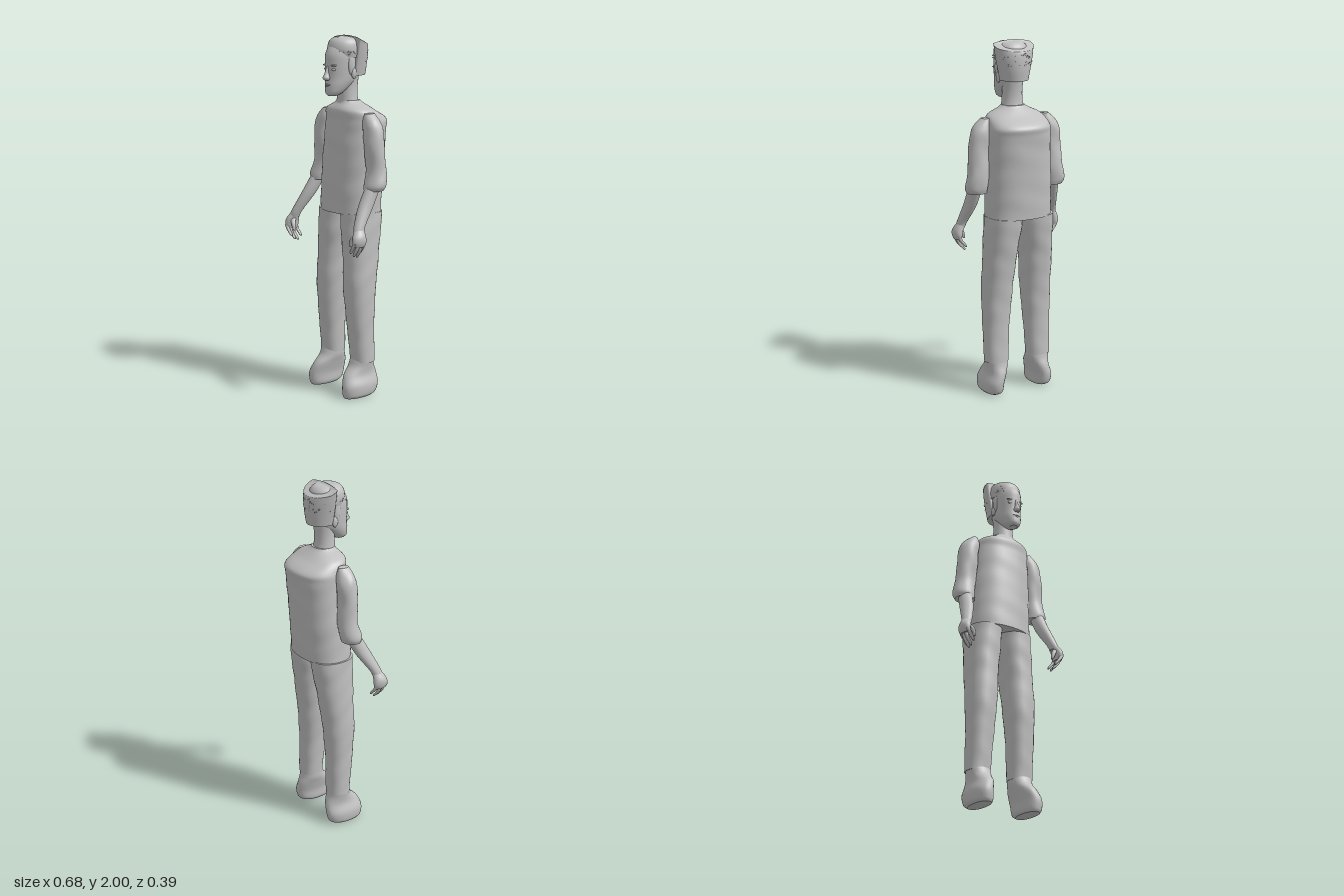
import * as THREE from 'three';

const grey = new THREE.MeshStandardMaterial({ color: 0xc0c0c0 });
grey.name = 'plain grey';

// Smooth body through elliptical rings [y, x, z, rx, rz], listed bottom to top.
function loft(rows, { sides = 28, steps = 5, power = 2, wrinkle = 0, rule = null } = {}) {
  const curve = (f) => new THREE.CatmullRomCurve3(rows.map(f), false, 'catmullrom', 0.5);
  const centre = curve((r) => new THREE.Vector3(r[1], r[0], r[2]));
  const radius = curve((r) => new THREE.Vector3(r[3], 0, r[4]));
  const n = (rows.length - 1) * steps;
  const pos = [], index = [];
  const bend = (v) => Math.sign(v) * Math.abs(v) ** (2 / power);
  for (let i = 0; i <= n; i++) {
    const c = centre.getPoint(i / n), r = radius.getPoint(i / n);
    for (let j = 0; j < sides; j++) {
      const a = (j / sides) * Math.PI * 2;
      const k = 1 + wrinkle * Math.sin(c.y * 38 + 2 * Math.sin(a * 2)) * Math.sin(c.y * 11 + a);
      const p = new THREE.Vector3(c.x + bend(Math.cos(a)) * r.x * k, c.y, c.z + bend(Math.sin(a)) * r.z * k);
      if (rule) rule(p);
      pos.push(p.x, p.y, p.z);
    }
  }
  for (let i = 0; i < n; i++) {
    for (let j = 0; j < sides; j++) {
      const k = (j + 1) % sides, a = i * sides, b = a + sides;
      index.push(a + j, b + j, a + k, a + k, b + j, b + k);
    }
  }
  // End caps with their own vertices, so the rims stay crisp
  for (const [ring, top] of [[0, false], [n, true]]) {
    const base = pos.length / 3, mid = [0, 0, 0];
    for (let j = 0; j < sides; j++) {
      for (let q = 0; q < 3; q++) {
        const v = pos[(ring * sides + j) * 3 + q];
        pos.push(v);
        mid[q] += v / sides;
      }
    }
    pos.push(...mid);
    for (let j = 0; j < sides; j++) {
      const k = (j + 1) % sides;
      index.push(base + sides, base + (top ? k : j), base + (top ? j : k));
    }
  }
  const g = new THREE.BufferGeometry();
  g.setAttribute('position', new THREE.Float32BufferAttribute(pos, 3));
  g.setIndex(index);
  g.computeVertexNormals();
  return g;
}

function add(parent, name, geometry) {
  const m = new THREE.Mesh(geometry, grey);
  m.name = name;
  parent.add(m);
  return m;
}

function ball(parent, name, x, y, z, rx, ry, rz) {
  const m = add(parent, name, new THREE.SphereGeometry(1, 20, 14));
  m.position.set(x, y, z);
  m.scale.set(rx, ry, rz);
  return m;
}

function buildHead() {
  const head = new THREE.Group();
  head.name = 'head';
  const cx = 0.035;
  add(head, 'neck', loft([
    [1.6, cx, 0.01, 0.07, 0.065], [1.66, cx, 0.015, 0.06, 0.056],
    [1.72, cx, 0.015, 0.056, 0.055], [1.8, cx, 0.01, 0.06, 0.06],
  ]));
  add(head, 'skull', loft([
    [1.678, cx, 0.115, 0.022, 0.028], [1.695, cx, 0.105, 0.043, 0.05],
    [1.735, cx, 0.077, 0.062, 0.078], [1.78, cx, 0.05, 0.073, 0.1],
    [1.85, cx, 0.042, 0.079, 0.11], [1.9, cx, 0.038, 0.079, 0.112],
    [1.945, cx, 0.03, 0.072, 0.095], [1.98, cx, 0.025, 0.045, 0.06],
  ]));
  add(head, 'nose', loft([
    [1.762, cx, 0.15, 0.013, 0.017], [1.776, cx, 0.153, 0.019, 0.026],
    [1.8, cx, 0.15, 0.011, 0.018], [1.84, cx, 0.145, 0.008, 0.01],
  ], { sides: 14 }));
  ball(head, 'upperLip', cx, 1.739, 0.147, 0.024, 0.005, 0.011);
  ball(head, 'lowerLip', cx, 1.73, 0.146, 0.02, 0.006, 0.011);
  ball(head, 'chin', cx, 1.695, 0.137, 0.022, 0.016, 0.017);
  for (const s of [-1, 1]) {
    ball(head, 'eye', cx + s * 0.032, 1.822, 0.132, 0.015, 0.008, 0.011);
    ball(head, 'brow', cx + s * 0.034, 1.843, 0.134, 0.021, 0.006, 0.012);
    ball(head, 'ear', cx + s * 0.078, 1.8, 0.03, 0.01, 0.03, 0.017);
  }
  return head;
}

function buildHair() {
  const hair = new THREE.Group();
  hair.name = 'hair';
  const cx = 0.035;
  // Flared shell around the back, cut flat in front and sloping down behind
  add(hair, 'backHair', loft([
    [1.785, cx, 0, 0.078, 0.088], [1.85, cx, 0, 0.092, 0.096],
    [1.92, cx, 0, 0.107, 0.096], [2, cx, 0, 0.12, 0.08],
  ], {
    sides: 40, steps: 6,
    rule: (p) => {
      p.z = Math.min(p.z, 0.02);
      p.y = Math.min(p.y, 2 + (p.z - 0.02) * 0.5 - 1.1 * (p.x - cx) ** 2);
    },
  }));
  // Rounded crop above the forehead
  add(hair, 'frontHair', loft([
    [1.885, cx, 0.02, 0.088, 0.098], [1.925, cx, 0.03, 0.092, 0.1],
    [1.965, cx, 0.03, 0.085, 0.09], [1.988, cx, 0.03, 0.06, 0.065], [1.993, cx, 0.03, 0.02, 0.025],
  ]));
  for (const s of [-1, 1]) ball(hair, 'sideburn', cx + s * 0.073, 1.85, 0.045, 0.013, 0.06, 0.022);
  // Short loose strands
  let seed = 7;
  const rnd = () => (seed = (seed * 16807) % 2147483647) / 2147483647;
  const strand = new THREE.ConeGeometry(0.0022, 0.034, 4);
  const up = new THREE.Vector3(0, 1, 0);
  for (let i = 0; i < 110; i++) {
    const a = rnd() * Math.PI * 2, h = rnd();
    const front = Math.sin(a) > 0;
    const m = add(hair, 'strand', strand);
    const k = front ? 1 - 0.35 * h * h : 1;
    m.position.set(cx + Math.cos(a) * 0.09 * k, (front ? 1.905 : 1.86) + h * 0.07, (front ? 0.03 : 0) + Math.sin(a) * 0.095 * k);
    const dir = new THREE.Vector3(-Math.sin(a) * (rnd() - 0.5) * 2, rnd() - 0.6, Math.cos(a) * (rnd() - 0.5) * 2);
    m.quaternion.setFromUnitVectors(up, dir.normalize());
  }
  return hair;
}

function buildArm(side) {
  const arm = new THREE.Group();
  arm.name = side < 0 ? 'rightArm' : 'leftArm';
  // The left arm is the mirrored right arm, shifted outward near the shoulder
  const place = (rows) => rows.map(([y, x, z, rx, rz]) =>
    [y, side < 0 ? x : -x + 0.05 * THREE.MathUtils.smoothstep(y, 0.95, 1.3), z, rx, rz]);
  add(arm, 'sleeve', loft(place([
    [1.18, -0.224, 0.01, 0.056, 0.052], [1.215, -0.226, 0.005, 0.063, 0.06],
    [1.3, -0.21, -0.008, 0.06, 0.052], [1.4, -0.203, 0, 0.061, 0.052],
    [1.5, -0.193, 0, 0.058, 0.054], [1.55, -0.178, 0, 0.05, 0.045], [1.59, -0.162, 0, 0.022, 0.03],
  ]), { wrinkle: 0.04 }));
  add(arm, 'forearm', loft(place([
    [0.96, -0.3, 0.14, 0.025, 0.03], [1, -0.287, 0.128, 0.028, 0.033],
    [1.1, -0.252, 0.072, 0.034, 0.045], [1.2, -0.228, 0.02, 0.036, 0.045],
  ])));
  add(arm, 'palm', loft(place([
    [0.895, -0.312, 0.147, 0.018, 0.036], [0.92, -0.314, 0.147, 0.025, 0.043],
    [0.95, -0.31, 0.145, 0.028, 0.04], [0.985, -0.295, 0.135, 0.023, 0.028],
  ])));
  for (let i = 0; i < 4; i++) {
    const z = 0.181 - i * 0.021, tip = [0.855, 0.835, 0.83, 0.85][i];
    add(arm, 'finger', loft(place([
      [tip, -0.275, z - 0.006, 0.005, 0.005], [tip + 0.012, -0.282, z - 0.004, 0.009, 0.009],
      [tip + 0.04, -0.305, z, 0.011, 0.01], [0.915, -0.316, z, 0.013, 0.011],
    ]), { sides: 10, steps: 3 }));
  }
  add(arm, 'thumb', loft(place([
    [0.888, -0.262, 0.165, 0.005, 0.006], [0.9, -0.264, 0.167, 0.01, 0.01],
    [0.93, -0.275, 0.165, 0.013, 0.013], [0.955, -0.295, 0.15, 0.016, 0.016],
  ]), { sides: 10, steps: 3 }));
  return arm;
}

function buildLeg(side) {
  const leg = new THREE.Group();
  leg.name = side < 0 ? 'rightLeg' : 'leftLeg';
  const place = (rows) => rows.map(([y, x, ...r]) => [y, side < 0 ? x : 0.03 - x, ...r]);
  add(leg, 'trouserLeg', loft(place([
    [0.195, -0.122, -0.002, 0.068, 0.064], [0.4, -0.117, 0.008, 0.074, 0.073],
    [0.6, -0.11, 0.01, 0.084, 0.088], [0.8, -0.1, -0.005, 0.089, 0.1],
    [0.95, -0.088, -0.015, 0.096, 0.114], [1.04, -0.083, -0.02, 0.098, 0.12],
  ]), { power: 2.3, wrinkle: 0.02, steps: 8 }));
  add(leg, 'shoe', loft(place([
    [0, -0.14, 0.045, 0.043, 0.09], [0.02, -0.142, 0.035, 0.055, 0.108],
    [0.07, -0.142, 0.029, 0.057, 0.116], [0.125, -0.126, 0.02, 0.055, 0.104],
    [0.17, -0.12, 0.006, 0.062, 0.075], [0.21, -0.122, 0, 0.066, 0.062],
  ]), { power: 2.2 }));
  return leg;
}

export function createModel() {
  const model = new THREE.Group();
  model.name = 'standingMan';
  // Loose shirt with a full back and rounded shoulders
  add(model, 'shirt', loft([
    [1.035, 0.02, -0.02, 0.19, 0.14], [1.2, 0.022, -0.025, 0.188, 0.143],
    [1.4, 0.03, -0.035, 0.184, 0.145], [1.5, 0.034, -0.042, 0.182, 0.146],
    [1.55, 0.035, -0.045, 0.178, 0.144], [1.6, 0.035, -0.006, 0.155, 0.105],
    [1.635, 0.035, 0.004, 0.085, 0.07], [1.65, 0.035, 0.008, 0.062, 0.06],
  ], { sides: 48, steps: 7, power: 2.3, wrinkle: 0.012 }));
  model.add(buildHead(), buildHair());
  for (const side of [-1, 1]) model.add(buildArm(side), buildLeg(side));
  return model;
}
